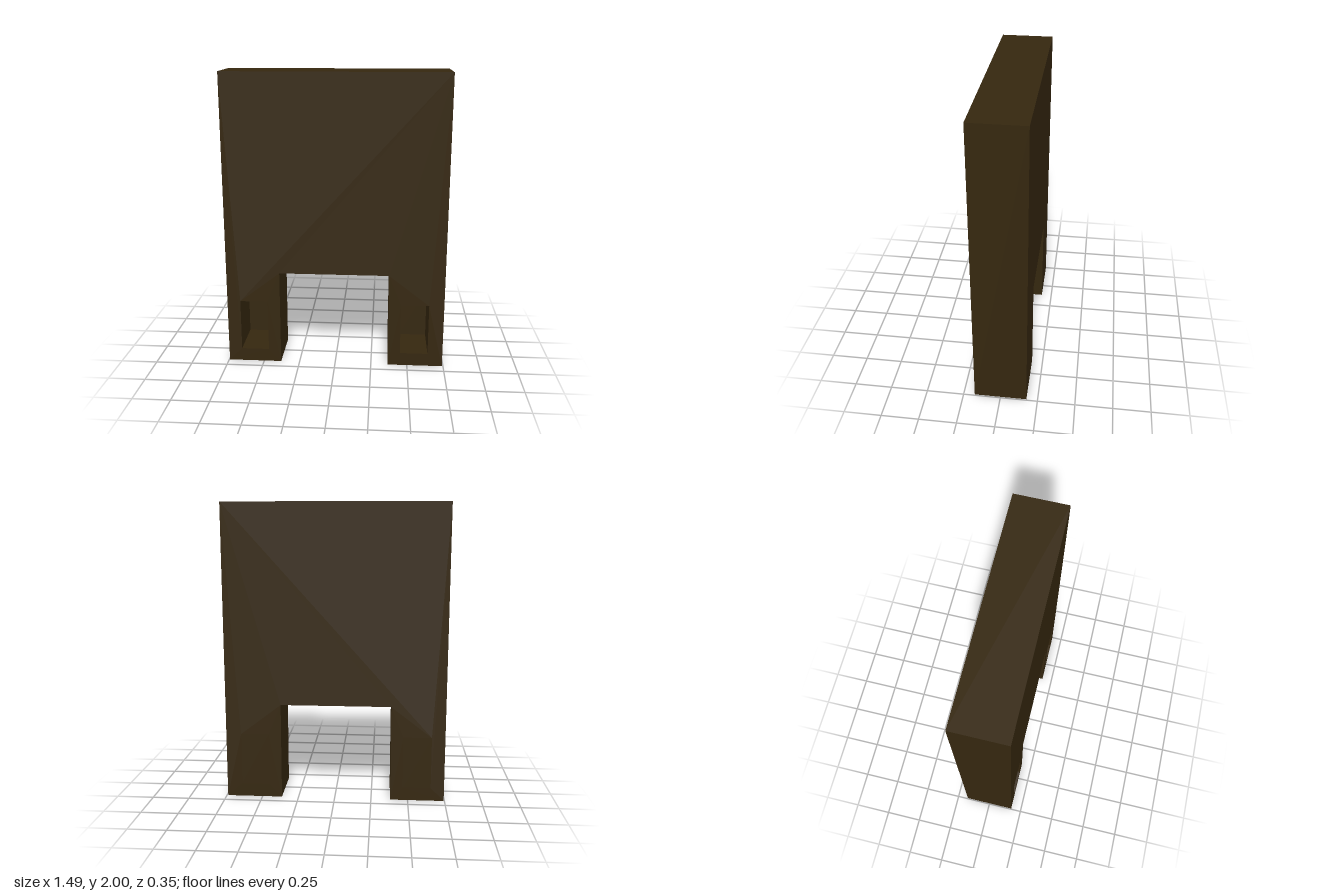
import * as THREE from 'three';

const DEPTH = 0.35;        // thickness of the slab
const BACK_WALL = 0.04;    // wall left behind each socket

export function createModel() {
  const model = new THREE.Group();
  model.name = 'slabWithLegs';
  const material = new THREE.MeshStandardMaterial({ color: 0x35270f });

  // Sockets in the front of the two legs
  const sockets = [
    { name: 'rightSocketBack', x0: -0.655, x1: -0.465, y0: 0.09, y1: 0.445 },
    { name: 'leftSocketBack', x0: 0.45, x1: 0.64, y0: 0.09, y1: 0.445 },
  ];

  // Panel outline with the gap between the legs
  const outline = new THREE.Shape([
    [-0.745, 0], [-0.38, 0], [-0.38, 0.655], [0.365, 0.655],
    [0.365, 0], [0.742, 0], [0.742, 2], [-0.745, 2],
  ].map(([x, y]) => new THREE.Vector2(x, y)));

  for (const { x0, x1, y0, y1 } of sockets) {
    outline.holes.push(new THREE.Path([
      new THREE.Vector2(x0, y0), new THREE.Vector2(x0, y1),
      new THREE.Vector2(x1, y1), new THREE.Vector2(x1, y0),
    ]));
  }

  const slab = new THREE.ExtrudeGeometry(outline, { depth: DEPTH, bevelEnabled: false });
  slab.translate(0, 0, -DEPTH / 2);
  const body = new THREE.Mesh(slab, material);
  body.name = 'panelAndLegs';
  model.add(body);

  // Back walls that close the sockets
  for (const { name, x0, x1, y0, y1 } of sockets) {
    const wall = new THREE.Mesh(new THREE.BoxGeometry(x1 - x0, y1 - y0, BACK_WALL), material);
    wall.position.set((x0 + x1) / 2, (y0 + y1) / 2, (BACK_WALL - DEPTH) / 2);
    wall.name = name;
    model.add(wall);
  }

  return model;
}
